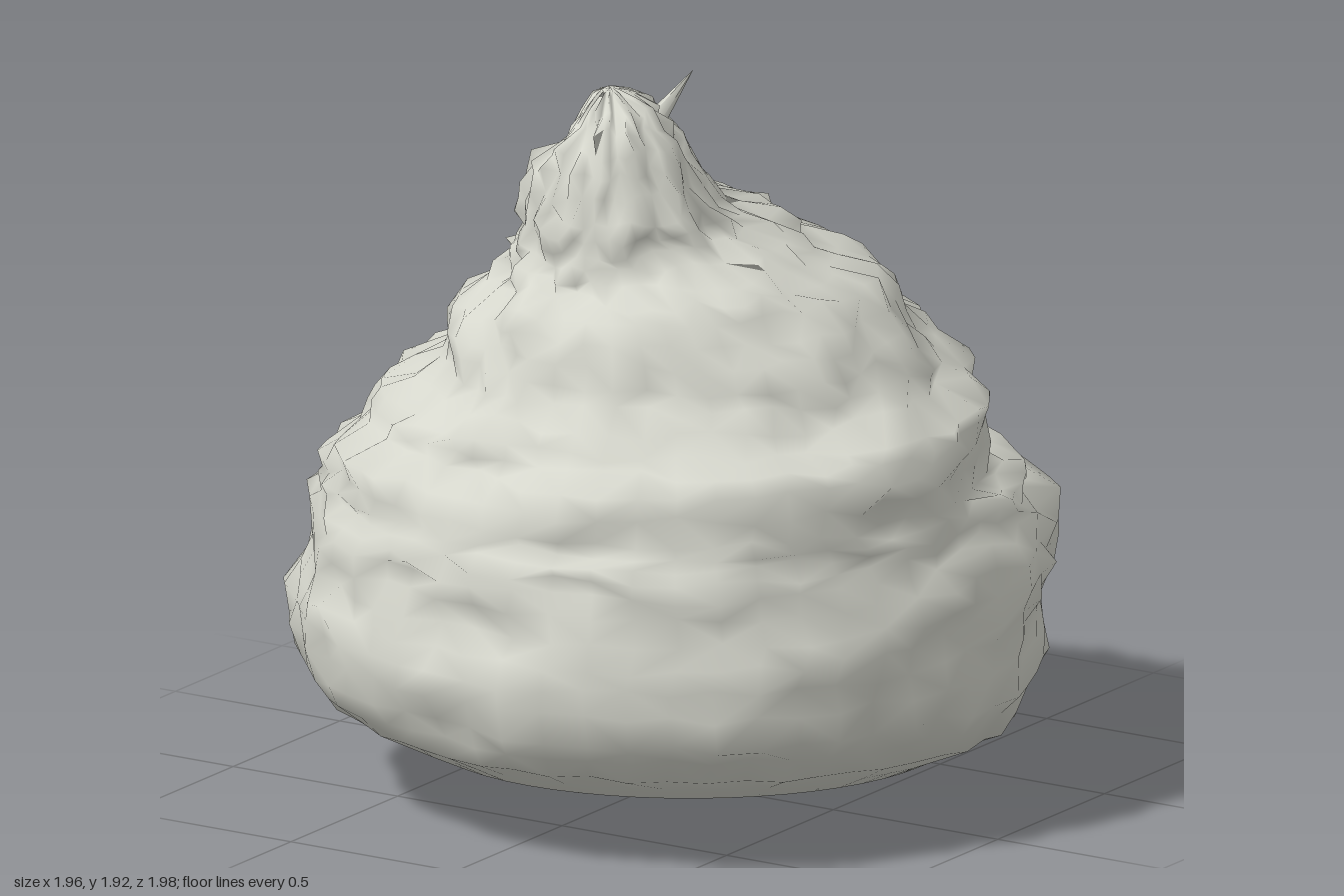
import * as THREE from 'three';

// Cross-sections from underside to peak: [y, left x, right x, front z, back z, slope in z]
const RINGS = [
  [0.065, 0, 0, -0.1, -0.1, 0.09],
  [0.065, -0.35, 0.35, 0.45, -0.7, 0.09],
  [0.09, -0.62, 0.62, 0.66, -0.85, 0.08],
  [0.2, -0.84, 0.85, 0.88, -0.93, 0.06],
  [0.34, -0.94, 0.96, 0.95, -0.95, 0.02],
  [0.5, -0.97, 0.97, 0.98, -0.96, 0],
  [0.62, -0.94, 0.97, 0.93, -0.97, 0],
  [0.74, -0.92, 0.96, 0.94, -0.98, 0],
  [0.81, -0.87, 0.93, 0.91, -0.93, 0],
  [0.87, -0.83, 0.9, 0.86, -0.69, 0],
  [1.0, -0.76, 0.88, 0.83, -0.68, 0],
  [1.07, -0.69, 0.84, 0.8, -0.68, 0],
  [1.17, -0.5, 0.76, 0.7, -0.65, 0],
  [1.27, -0.47, 0.68, 0.65, -0.56, 0],
  [1.38, -0.41, 0.56, 0.59, -0.5, 0],
  [1.45, -0.33, 0.41, 0.55, -0.31, 0],
  [1.52, -0.27, 0.32, 0.53, -0.22, 0],
  [1.6, -0.24, 0.27, 0.51, -0.06, 0],
  [1.72, -0.16, 0.19, 0.47, 0.03, 0],
  [1.82, -0.1, 0.13, 0.41, 0.12, 0],
  [1.89, -0.04, 0.05, 0.33, 0.22, 0],
  [1.91, 0, 0, 0.28, 0.28, 0],
];
const SEGMENTS = 54;
const ROWS_PER_RING = 2;
const { smoothstep } = THREE.MathUtils;

// Repeatable pseudo-random value in -1..1
function hash(i, j) {
  const s = Math.sin(i * 127.1 + j * 311.7) * 43758.5453;
  return (s - Math.floor(s)) * 2 - 1;
}

// How crumpled the surface is: calm underneath, at the lower back and at the tip
function roughness(angle, t) {
  const back = smoothstep(Math.abs(angle - Math.PI), 0.3, 1.0);
  const upper = smoothstep(t, 9, 10);
  return smoothstep(t, 2, 4) * (1 - smoothstep(t, 19, 21)) * Math.max(back, upper);
}

// Point on the swirl: angle 0 is the front, t runs through the rings
function surfacePoint(angle, t) {
  const k = Math.min(Math.floor(t), RINGS.length - 2);
  const [y, xl, xr, zf, zb, slope] = RINGS[k].map((v, n) => v + (RINGS[k + 1][n] - v) * (t - k));
  // Spiral ledge: swells below each winding and drops in above it
  const phase = (y - 1.2) / 0.4 - (angle - Math.PI) / (2 * Math.PI);
  const ledge = 0.07 * (phase - Math.floor(phase) - 0.6) * roughness(angle, t) * smoothstep(t, 5, 8);
  const s = Math.sin(angle), c = Math.cos(angle);
  const x = s * ((s > 0 ? xr : -xl) + ledge);
  const z = (zf + zb) / 2 + c * ((zf - zb) / 2 + ledge);
  return new THREE.Vector3(x, y + slope * z, z);
}

function meshFrom(positions, indices, material, name) {
  const geometry = new THREE.BufferGeometry();
  geometry.setAttribute('position', new THREE.Float32BufferAttribute(positions, 3));
  geometry.setIndex(indices);
  geometry.computeVertexNormals();
  const mesh = new THREE.Mesh(geometry, material);
  mesh.name = name;
  return mesh;
}

// Crumpled swirl body
function makeBody(material) {
  const rows = (RINGS.length - 1) * ROWS_PER_RING;
  const positions = [], indices = [];
  for (let i = 0; i <= rows; i++) {
    const t = i / ROWS_PER_RING;
    for (let j = 0; j < SEGMENTS; j++) {
      const angle = (j / SEGMENTS) * Math.PI * 2;
      const p = surfacePoint(angle, t);
      const rough = roughness(angle, t);
      const r = 0.026 * rough * hash(i, j);
      p.x += Math.sin(angle) * r;
      p.z += Math.cos(angle) * r;
      p.y += 0.014 * rough * hash(i + 91, j);
      positions.push(p.x, p.y, p.z);
      if (i === rows) continue;
      const a = i * SEGMENTS + j, b = i * SEGMENTS + (j + 1) % SEGMENTS;
      const c = a + SEGMENTS, d = b + SEGMENTS;
      if (hash(i, j + 57) > 0) indices.push(a, b, d, a, d, c);
      else indices.push(a, b, c, b, d, c);
    }
  }
  return meshFrom(positions, indices, material, 'swirlBody');
}

// Jagged crack down the back, as a thin ribbon: path of [x, t]
function makeCrack(material) {
  const path = [[0.0, 9.2], [0.02, 8.9], [0.02, 7], [0.05, 5.2], [-0.08, 4.1], [0.04, 2.8], [-0.05, 2.1], [-0.17, 1.05]];
  const positions = [], indices = [];
  const onSurface = (x, t) => {
    const reach = Math.abs(surfacePoint(Math.PI / 2, t).x);
    const angle = Math.PI - Math.asin(x / reach);
    const p = surfacePoint(angle, t);
    const across = surfacePoint(angle + 0.02, t).sub(surfacePoint(angle - 0.02, t));
    const up = surfacePoint(angle, t + 0.2).sub(surfacePoint(angle, t - 0.2));
    return p.addScaledVector(across.cross(up).normalize(), 0.009);
  };
  const steps = 10;
  for (let k = 0; k < path.length - 1; k++) {
    for (let n = k ? 1 : 0; n <= steps; n++) {
      const f = n / steps;
      const x = path[k][0] + (path[k + 1][0] - path[k][0]) * f;
      const t = path[k][1] + (path[k + 1][1] - path[k][1]) * f;
      const half = t > 7 ? 0.036 : 0.03;
      const row = positions.length / 6;
      positions.push(...onSurface(x - half, t).toArray(), ...onSurface(x + half, t).toArray());
      if (row) {
        const a = (row - 1) * 2;
        indices.push(a, a + 1, a + 2, a + 1, a + 3, a + 2);
      }
    }
  }
  return meshFrom(positions, indices, material, 'backCrack');
}

// Small wisp curling back from the peak
function makeWisp(material) {
  const from = new THREE.Vector3(0.08, 1.79, 0.22), to = new THREE.Vector3(0.12, 1.92, 0.07);
  const direction = to.clone().sub(from);
  const wisp = new THREE.Mesh(new THREE.ConeGeometry(0.032, direction.length(), 6), material);
  wisp.position.copy(from).add(to).multiplyScalar(0.5);
  wisp.quaternion.setFromUnitVectors(new THREE.Vector3(0, 1, 0), direction.normalize());
  wisp.name = 'peakWisp';
  return wisp;
}

export function createModel() {
  const cream = new THREE.MeshStandardMaterial({ color: 0xd6d7cd });
  cream.name = 'paleCream';
  const brown = new THREE.MeshStandardMaterial({ color: 0x5c4a30, side: THREE.DoubleSide });
  brown.name = 'darkBrown';
  const group = new THREE.Group();
  group.name = 'swirl';
  group.add(makeBody(cream), makeCrack(brown), makeWisp(cream));
  return group;
}
